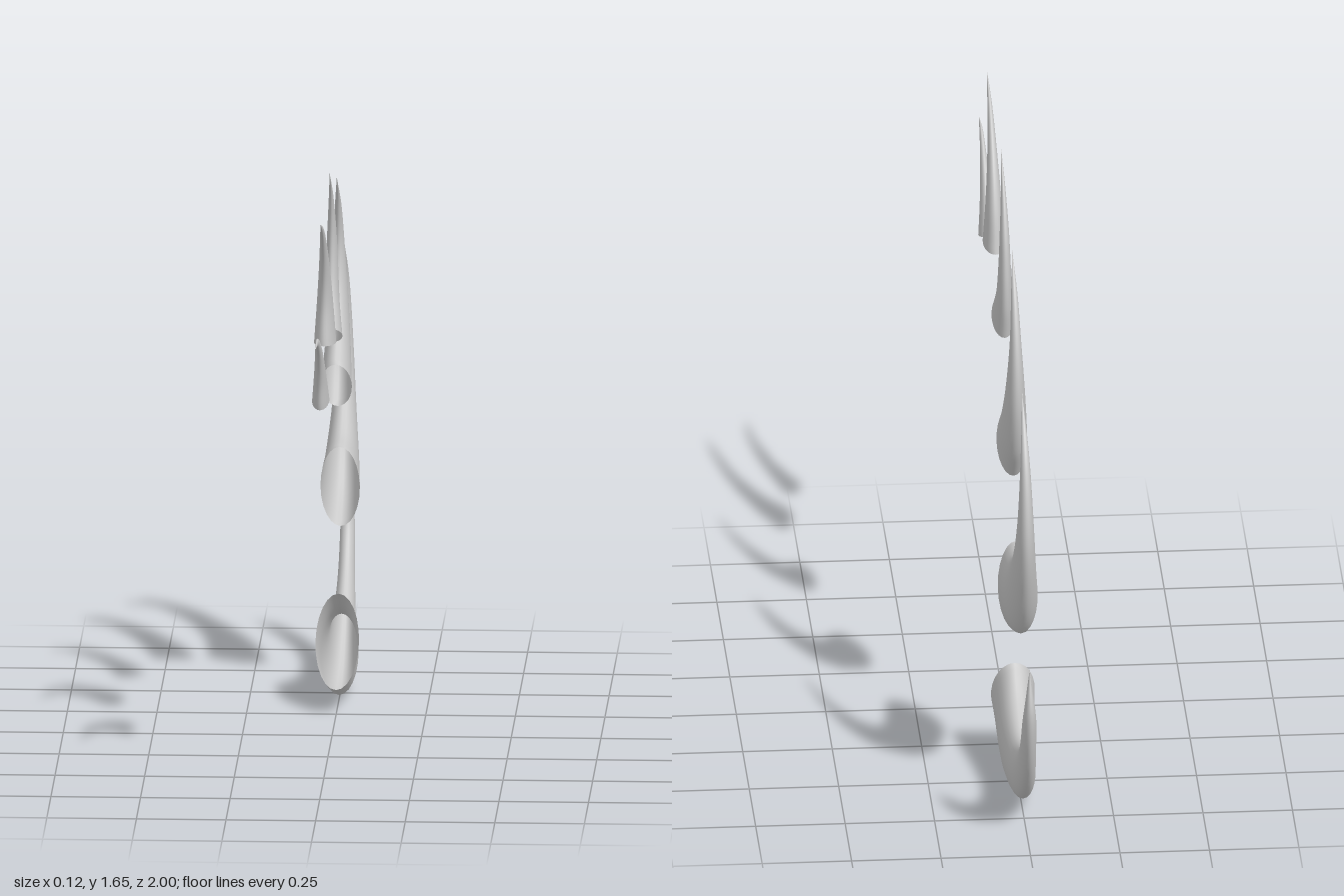
import * as THREE from 'three';

const SIDES = 24;  // points around each spike
const STEPS = 32;  // rings along each spike
const FLATNESS = 0.43; // width of a section relative to its depth

// Edges of each spike in the side plane, as [z, y] from base to shared tip.
const SPIKES = [
  { name: 'spikeLowest', tip: [-0.97, 0.56],
    outer: [[-0.24, 0.075], [-0.51, 0.003], [-0.74, 0.06], [-0.917, 0.22], [-0.997, 0.42]],
    inner: [[-0.39, 0.315], [-0.5, 0.24], [-0.65, 0.203], [-0.81, 0.26], [-0.917, 0.38]] },
  { name: 'spikeLowerBack', tip: [-0.676, 1.275],
    outer: [[-0.53, 0.475], [-0.671, 0.54], [-0.783, 0.684], [-0.853, 0.893], [-0.815, 1.112]],
    inner: [[-0.457, 0.72], [-0.58, 0.74], [-0.694, 0.82], [-0.767, 0.957], [-0.762, 1.134]] },
  { name: 'spikeMiddleBack', tip: [-0.291, 1.535],
    outer: [[-0.34, 0.866], [-0.414, 0.973], [-0.463, 1.128], [-0.457, 1.289], [-0.398, 1.428]],
    inner: [[-0.21, 1.016], [-0.302, 1.096], [-0.366, 1.203], [-0.388, 1.321], [-0.356, 1.438]] },
  { name: 'spikeUpper', tip: [0.142, 1.652],
    outer: [[0, 1.133], [-0.029, 1.235], [-0.037, 1.342], [-0.019, 1.455], [0.045, 1.572]],
    inner: [[0.131, 1.203], [0.067, 1.273], [0.04, 1.364], [0.04, 1.46], [0.072, 1.561]] },
  { name: 'spikeUpperFront', tip: [0.693, 1.639],
    outer: [[0.345, 1.23], [0.372, 1.348], [0.42, 1.449], [0.495, 1.54], [0.586, 1.604]],
    inner: [[0.489, 1.24], [0.479, 1.348], [0.495, 1.433], [0.537, 1.513], [0.602, 1.583]] },
  { name: 'spikeFrontmost', tip: [1, 1.356],
    outer: [[0.634, 1.15], [0.687, 1.225], [0.751, 1.289], [0.826, 1.337], [0.912, 1.364]],
    inner: [[0.741, 1.118], [0.762, 1.193], [0.799, 1.257], [0.853, 1.31], [0.922, 1.345]] },
];

// Hollow curved horn: elliptical rings spanning the outer and inner edges.
function hornGeometry({ outer, inner, tip }) {
  const edge = (pts) => new THREE.CatmullRomCurve3(
    [...pts, tip].map(([z, y]) => new THREE.Vector3(0, y, z)));
  const outerEdge = edge(outer), innerEdge = edge(inner);
  const positions = [], index = [];
  for (let i = 0; i <= STEPS; i++) {
    const o = outerEdge.getPoint(i / STEPS), n = innerEdge.getPoint(i / STEPS);
    const centre = o.clone().add(n).multiplyScalar(0.5);
    const half = o.sub(n).multiplyScalar(0.5);
    const width = half.length() * FLATNESS;
    for (let j = 0; j < SIDES; j++) {
      const a = (j / SIDES) * Math.PI * 2;
      const p = centre.clone().addScaledVector(half, Math.sin(a));
      positions.push(width * Math.cos(a), p.y, p.z);
      if (i < STEPS) {
        const k = i * SIDES + j, next = i * SIDES + (j + 1) % SIDES;
        index.push(k, next, k + SIDES);
        if (i < STEPS - 1) index.push(next, next + SIDES, k + SIDES);
      }
    }
  }
  const geometry = new THREE.BufferGeometry();
  geometry.setAttribute('position', new THREE.Float32BufferAttribute(positions, 3));
  geometry.setIndex(index);
  geometry.computeVertexNormals();
  return geometry;
}

export function createModel() {
  const group = new THREE.Group();
  group.name = 'spikes';
  // The bases are open, so the inside shows too
  const material = new THREE.MeshStandardMaterial({ color: 0xcccccc, side: THREE.DoubleSide });
  for (const spike of SPIKES) {
    const mesh = new THREE.Mesh(hornGeometry(spike), material);
    mesh.name = spike.name;
    group.add(mesh);
  }
  return group;
}
